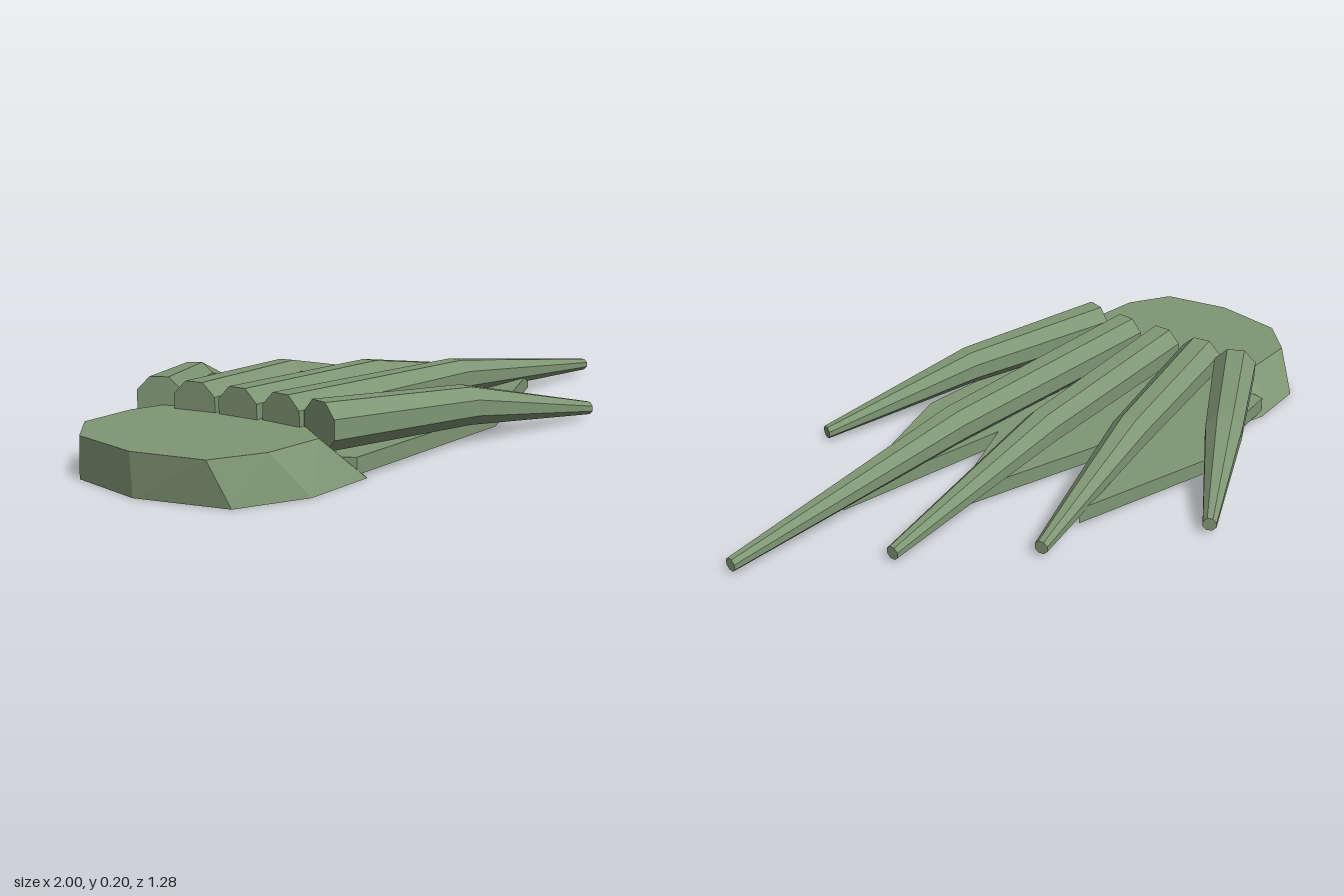
import * as THREE from 'three';

const skin = new THREE.MeshStandardMaterial({ color: 0x7f9674, flatShading: true });
skin.name = 'sageGreen';

// Closed loft through rings of [x, y, z] points, each counterclockwise about the loft direction
function loft(rings) {
  const n = rings[0].length;
  const index = [];
  for (let r = 0; r < rings.length - 1; r++) {
    for (let i = 0; i < n; i++) {
      const j = (i + 1) % n;
      const a = r * n + i, b = r * n + j, c = b + n, d = a + n;
      index.push(a, b, c, a, c, d);
    }
  }
  const top = (rings.length - 1) * n;
  for (let i = 1; i < n - 1; i++) {
    index.push(0, i + 1, i, top, top + i, top + i + 1);
  }
  const geo = new THREE.BufferGeometry();
  geo.setAttribute('position', new THREE.Float32BufferAttribute(rings.flat(2), 3));
  geo.setIndex(index);
  const flat = geo.toNonIndexed();
  flat.computeVertexNormals();
  return flat;
}

// Eight-sided digit: thick base, raised knuckle halfway, thin tip on the ground
function digitGeometry([bx, bz], [tx, tz]) {
  const along = new THREE.Vector3(tx - bx, 0, tz - bz).normalize();
  const side = new THREE.Vector3(0, 1, 0).cross(along);
  const stations = [
    [0, 0.138, 0.072],
    [0.5, 0.118, 0.06],
    [1, 0.032, 0.021],
  ];
  return loft(stations.map(([t, y, r]) => {
    const ring = [];
    for (let i = 0; i < 8; i++) {
      const a = (i + 0.5) * Math.PI / 4;
      const s = Math.cos(a) * r;
      ring.push([
        bx + (tx - bx) * t + side.x * s,
        y + Math.sin(a) * r,
        bz + (tz - bz) * t + side.z * s,
      ]);
    }
    return ring;
  }));
}

export function createModel() {
  const model = new THREE.Group();
  model.name = 'webbedFoot';
  const add = (name, geometry) => {
    const mesh = new THREE.Mesh(geometry, skin);
    mesh.name = name;
    model.add(mesh);
  };

  // Heel pad: ten-sided block tapering to a smaller flat top
  const lower = [[-0.33, 0.545], [-0.29, 0.325], [-0.39, 0.06], [-0.525, -0.16], [-0.765, -0.115],
    [-0.935, -0.015], [-1, 0.21], [-0.925, 0.435], [-0.74, 0.635], [-0.53, 0.638]];
  const upper = [[-0.465, 0.54], [-0.44, 0.38], [-0.55, 0.16], [-0.69, -0.01], [-0.8, 0.005],
    [-0.95, 0.085], [-1, 0.23], [-0.93, 0.44], [-0.79, 0.602], [-0.63, 0.607]];
  add('heelPad', loft([
    lower.map(([x, z]) => [x, 0, z]),
    upper.map(([x, z]) => [x, 0.122, z]),
  ]));

  // Webbing: one slab with a notch between each pair of digits
  const outline = [[-0.6, 0.4], [-0.36, 0.545], [0.24, 0.268], [0.64, -0.155], [0.1, 0.02],
    [0.345, -0.27], [-0.19, -0.165], [0.04, -0.465], [-0.4, -0.37], [-0.48, -0.36],
    [-0.6, -0.21], [-0.77, -0.1]];
  const shape = new THREE.Shape(outline.map(([x, z]) => new THREE.Vector2(x, -z)));
  const web = new THREE.ExtrudeGeometry(shape, { depth: 0.048, bevelEnabled: false });
  web.rotateX(-Math.PI / 2).translate(0, 0.012, 0);
  add('webbing', web);

  // Digits fan out from the heel pad: [base x, z], [tip x, z]
  const digits = [
    [[-0.71, -0.01], [-0.285, -0.632]],
    [[-0.645, 0.1], [0.193, -0.558]],
    [[-0.565, 0.225], [0.575, -0.432]],
    [[-0.49, 0.35], [0.99, -0.322]],
    [[-0.435, 0.475], [0.585, 0.262]],
  ];
  digits.forEach(([base, tip], i) => add(`digit${i + 1}`, digitGeometry(base, tip)));

  return model;
}
